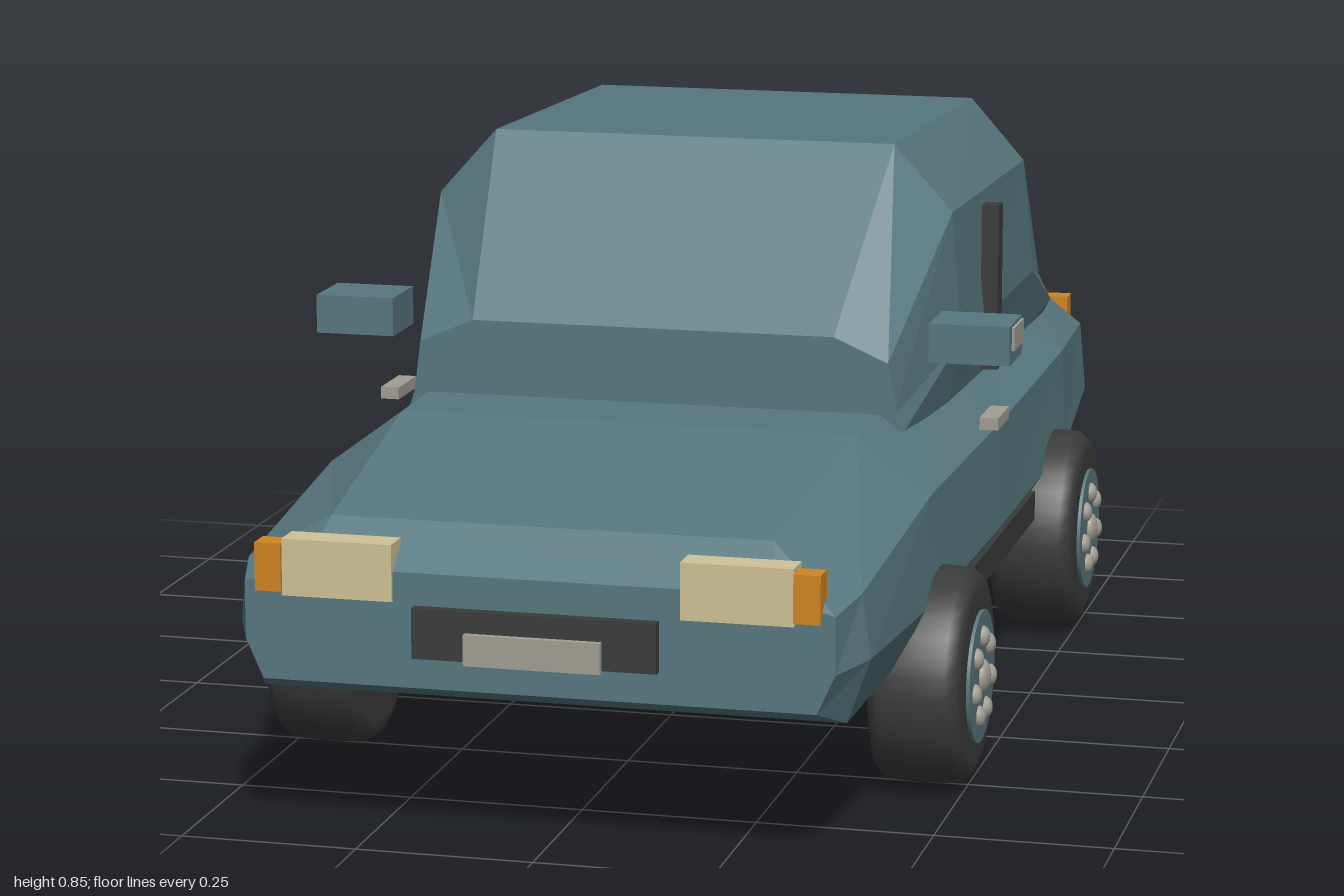
import * as THREE from 'three';

const mat = (name, color) => {
  const m = new THREE.MeshStandardMaterial({ color });
  m.name = name;
  return m;
};

// Faceted hull from mirrored sections, listed front to rear:
// [z, then four (halfWidth, y) pairs from the bottom up]
function loft(sections) {
  const rings = sections.map(([z, ...p]) => {
    const right = [0, 2, 4, 6].map(i => [p[i], p[i + 1], z]);
    const left = right.map(([x, y]) => [-x, y, z]).reverse();
    return [...right, ...left];
  });
  const pos = [];
  const tri = (...pts) => pts.forEach(q => pos.push(...q));
  for (let i = 0; i < rings.length - 1; i++) {
    const f = rings[i], r = rings[i + 1];
    for (let j = 0; j < 8; j++) {
      const k = (j + 1) % 8;
      tri(f[j], r[j], r[k]);
      tri(f[j], r[k], f[k]);
    }
  }
  const a = rings[0], b = rings[rings.length - 1];
  for (let j = 1; j < 7; j++) {
    tri(a[0], a[j], a[j + 1]);
    tri(b[0], b[j + 1], b[j]);
  }
  const g = new THREE.BufferGeometry();
  g.setAttribute('position', new THREE.Float32BufferAttribute(pos, 3));
  g.computeVertexNormals();
  return g;
}

export function createModel() {
  const paint = mat('bluePaint', 0x56777e);
  const dark = mat('darkRubber', 0x3a3c3b);
  const metal = mat('greyMetal', 0xa29e94);
  const cream = mat('headlightCream', 0xcec296);
  const amber = mat('amberLamp', 0xd08522);
  const red = mat('redLamp', 0x86362d);

  const car = new THREE.Group();
  car.name = 'car';
  const add = (name, geometry, material, parent = car) => {
    const m = new THREE.Mesh(geometry, material);
    m.name = name;
    parent.add(m);
    return m;
  };
  // Box given by its limits on each axis
  const box = (name, material, x0, x1, y0, y1, z0, z1) => {
    const m = add(name, new THREE.BoxGeometry(Math.abs(x1 - x0), y1 - y0, z1 - z0), material);
    m.position.set((x0 + x1) / 2, (y0 + y1) / 2, (z0 + z1) / 2);
    return m;
  };

  // Lower body
  add('body', loft([
    [0.975, 0.385, 0.225, 0.41, 0.28, 0.41, 0.36, 0.325, 0.385],
    [0.9, 0.41, 0.195, 0.442, 0.285, 0.43, 0.375, 0.31, 0.44],
    [0.5, 0.415, 0.195, 0.455, 0.27, 0.443, 0.42, 0.335, 0.5],
    [0, 0.415, 0.195, 0.457, 0.265, 0.45, 0.42, 0.345, 0.5],
    [-0.55, 0.415, 0.195, 0.455, 0.265, 0.447, 0.42, 0.34, 0.495],
    [-0.89, 0.39, 0.19, 0.43, 0.29, 0.42, 0.4, 0.32, 0.477],
    [-0.97, 0.34, 0.23, 0.375, 0.29, 0.365, 0.385, 0.29, 0.435],
  ]), paint);

  // Cabin
  add('cabin', loft([
    [0.36, 0.37, 0.47, 0.36, 0.5, 0.35, 0.575, 0.27, 0.61],
    [0.11, 0.39, 0.47, 0.408, 0.565, 0.393, 0.755, 0.305, 0.853],
    [-0.495, 0.39, 0.455, 0.408, 0.56, 0.39, 0.738, 0.305, 0.835],
    [-0.735, 0.38, 0.44, 0.395, 0.47, 0.375, 0.51, 0.3, 0.54],
  ]), paint);

  // Front and rear trim
  box('grille', dark, -0.17, 0.17, 0.27, 0.34, 0.96, 0.99);
  box('frontPlate', metal, -0.095, 0.095, 0.267, 0.31, 0.975, 1);
  box('rearPlate', metal, -0.1, 0.1, 0.28, 0.325, -1, -0.982);

  // Paired parts
  for (const s of [1, -1]) {
    const side = s > 0 ? 'left' : 'right';
    const pair = (name, material, x0, x1, ...rest) =>
      box(side + name, material, s * x0, s * x1, ...rest);
    pair('Headlight', cream, 0.2, 0.355, 0.344, 0.423, 0.935, 0.98);
    pair('FrontIndicator', amber, 0.355, 0.392, 0.35, 0.417, 0.948, 0.985);
    pair('TailLight', red, 0.21, 0.35, 0.365, 0.435, -0.985, -0.945);
    pair('RearIndicator', amber, 0.35, 0.388, 0.367, 0.433, -0.98, -0.945);
    pair('Mirror', paint, 0.402, 0.52, 0.573, 0.63, 0.228, 0.328);
    pair('MirrorPlate', metal, 0.517, 0.524, 0.592, 0.626, 0.235, 0.31);
    pair('DoorPillar', dark, 0.402, 0.428, 0.483, 0.735, -0.11, -0.075);
    pair('DoorHandle', metal, 0.447, 0.475, 0.442, 0.46, 0.075, 0.165);
    pair('Sill', dark, 0.42, 0.458, 0.21, 0.255, -0.255, 0.26);
  }

  // Wheels, built with the outer face towards +x
  const tyre = new THREE.LatheGeometry([
    [0, -0.07], [0.125, -0.07], [0.143, -0.065], [0.154, -0.05],
    [0.156, 0], [0.154, 0.045], [0.143, 0.06], [0.125, 0.065], [0, 0.065],
  ].map(p => new THREE.Vector2(...p)), 32).rotateZ(-Math.PI / 2);
  const hub = new THREE.CylinderGeometry(0.095, 0.095, 0.012, 28).rotateZ(-Math.PI / 2);
  const nut = new THREE.SphereGeometry(0.016, 12, 8).scale(0.7, 1, 1);
  const cap = new THREE.SphereGeometry(0.025, 14, 10).scale(0.5, 1, 1);
  for (const s of [1, -1]) {
    for (const z of [0.483, -0.44]) {
      const wheel = new THREE.Group();
      wheel.name = (z > 0 ? 'front' : 'rear') + (s > 0 ? 'Left' : 'Right') + 'Wheel';
      wheel.position.set(s * 0.445, 0.156, z);
      wheel.rotation.y = s > 0 ? 0 : Math.PI;
      add('tyre', tyre, dark, wheel);
      add('hub', hub, paint, wheel).position.x = 0.064;
      add('hubCap', cap, metal, wheel).position.x = 0.07;
      for (let i = 0; i < 7; i++) {
        const t = i * Math.PI * 2 / 7;
        add('wheelNut', nut, metal, wheel)
          .position.set(0.07, 0.058 * Math.cos(t), 0.058 * Math.sin(t));
      }
      car.add(wheel);
    }
  }
  return car;
}
